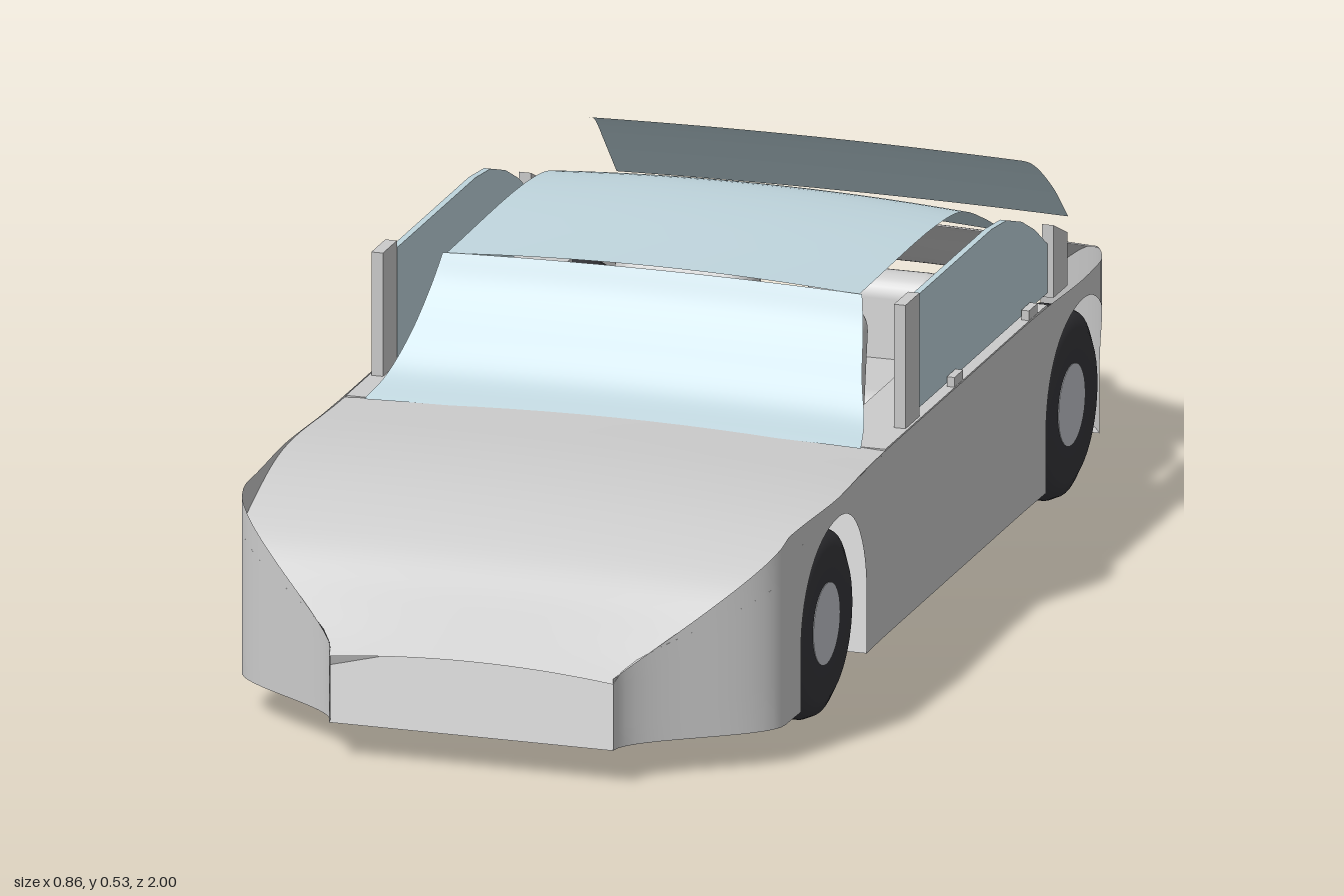
import * as THREE from 'three';
import { RoundedBoxGeometry } from 'three/addons/geometries/RoundedBoxGeometry.js';

const material = (color) => new THREE.MeshStandardMaterial({ color, side: THREE.DoubleSide });
const paint = material(0xcccccc);
const glass = material(0xc0d6de);
const rubber = material(0x36363a);
const metal = material(0xc3c6cc);

const FLOOR = 0.055, WHEEL_R = 0.145;
const AXLES = [0.58, -0.555];
const { smoothstep, lerp } = THREE.MathUtils;

// Body plan (half width) and beltline height along the length
const halfWidth = (z) => {
  const flare = AXLES.reduce((s, a) => s + 0.008 * Math.exp(-(((z - a) / 0.12) ** 2)), 0);
  return z > 0 ? lerp(0.42, 0.22, smoothstep(z, 0.8, 1)) + flare * (1 - smoothstep(z, 0.75, 0.9))
    : lerp(0.42, 0.22, smoothstep(-z, 0.64, 1)) + flare * (1 - smoothstep(-z, 0.65, 0.8));
};
const beltline = (z) => z > 0 ? lerp(0.34, 0.165, smoothstep(z, 0.78, 1))
  : lerp(0.34, 0.19, smoothstep(-z, 0.7, 1));

function add(parent, name, geometry, mat) {
  const mesh = new THREE.Mesh(geometry, mat);
  mesh.name = name;
  parent.add(mesh);
  return mesh;
}

// Smooth skin through rows of equally many points
function loft(rows) {
  const n = rows[0].length, index = [];
  for (let i = 0; i < rows.length - 1; i++) {
    for (let j = 0; j < n - 1; j++) {
      const a = i * n + j;
      index.push(a, a + 1, a + n, a + 1, a + n + 1, a + n);
    }
  }
  const g = new THREE.BufferGeometry();
  g.setAttribute('position', new THREE.Float32BufferAttribute(rows.flat(2), 3));
  g.setIndex(index);
  g.computeVertexNormals();
  return g;
}

// Crowned panel along a [y, z] profile with a half width for each station;
// the profile runs from back to front so that the skin faces up
function panel(profile, width, crown, steps = 24) {
  const curve = new THREE.CatmullRomCurve3(
    profile.map(([y, z, w = 0]) => new THREE.Vector3(w, y, z)), false, 'centripetal');
  return loft(curve.getPoints(steps).map((p) => {
    const w = width ? width(p.z) : p.x;
    return Array.from({ length: 17 }, (_, i) => {
      const t = 1 - i / 8;
      return [-t * w, p.y - crown * t * t, p.z];
    });
  }).map((row) => row.reverse()));
}

// One side wall, its lower edge cut by the wheel arches
function sideWall(side) {
  const columns = [];
  const column = (z, low) => {
    const high = beltline(z), x = side * halfWidth(z);
    const points = [0, 0.25, 0.5, 0.75, 1].map((t) => [x, lerp(Math.min(low, high), high, t), z]);
    columns.push(side > 0 ? points : points.reverse());
  };
  const run = (a, b, n) => { for (let i = 0; i <= n; i++) column(lerp(a, b, i / n), FLOOR); };
  const arch = (c) => {
    for (let i = 0; i <= 28; i++) {
      const t = Math.cos((i / 28) * Math.PI);
      column(c + 0.152 * t, 0.15 + 0.16 * Math.sqrt(Math.max(0, 1 - t * t)));
    }
  };
  run(1, AXLES[0] + 0.152, 20);
  arch(AXLES[0]);
  run(AXLES[0] - 0.152, AXLES[1] + 0.152, 12);
  arch(AXLES[1]);
  run(AXLES[1] - 0.152, -1, 20);
  return loft(columns);
}

// Floor plan with tapered pockets over the wheels
function floorPan() {
  const half = [];
  const run = (a, b) => { for (let i = 0; i <= 16; i++) { const z = lerp(a, b, i / 16); half.push([halfWidth(z), z]); } };
  const pocket = (c) => half.push([0.31, c + 0.152], [0.17, c], [0.31, c - 0.152]);
  run(1, AXLES[0] + 0.152);
  pocket(AXLES[0]);
  run(AXLES[0] - 0.152, AXLES[1] + 0.152);
  pocket(AXLES[1]);
  run(AXLES[1] - 0.152, -1);
  const outline = [...half, ...half.map(([x, z]) => [-x, z]).reverse()];
  const shape = new THREE.Shape(outline.map(([x, z]) => new THREE.Vector2(x, z)));
  return new THREE.ShapeGeometry(shape).rotateX(Math.PI / 2).translate(0, FLOOR, 0);
}

// Thin upright plate from a [z, y] outline, extruded across x
function plate(points, thickness) {
  const shape = new THREE.Shape(points.map(([z, y]) => new THREE.Vector2(-z, y)));
  return new THREE.ExtrudeGeometry(shape, { depth: thickness, bevelEnabled: false })
    .rotateY(Math.PI / 2).translate(-thickness / 2, 0, 0);
}

function makeWheel(side) {
  const wheel = new THREE.Group();
  wheel.name = 'wheel';
  const profile = [[0.06, -0.045], [0.115, -0.047], [0.137, -0.036], [WHEEL_R, -0.018],
    [WHEEL_R, 0.018], [0.137, 0.036], [0.115, 0.047], [0.06, 0.045]];
  add(wheel, 'tire', new THREE.LatheGeometry(profile.map(([r, y]) => new THREE.Vector2(r, y)), 40)
    .rotateZ(Math.PI / 2), rubber);
  add(wheel, 'hub', new THREE.CylinderGeometry(0.062, 0.062, 0.092, 32).rotateZ(Math.PI / 2), metal);
  wheel.position.x = side * 0.365;
  return wheel;
}

function makeSeat(height) {
  const seat = new THREE.Group();
  seat.name = 'seat';
  add(seat, 'cushion', new RoundedBoxGeometry(0.22, 0.09, 0.23, 4, 0.04), paint).position.set(0, 0.195, 0.1);
  const back = add(seat, 'backrest', new RoundedBoxGeometry(0.22, height, 0.08, 4, 0.038), paint);
  back.position.set(0, 0.18 + height / 2, -0.02);
  back.rotation.x = -0.15;
  return seat;
}

export function createModel() {
  const car = new THREE.Group();
  car.name = 'car';

  // Body skin, open at nose and tail
  add(car, 'floor', floorPan(), paint);
  add(car, 'hood', panel([[0.35, 0.33], [0.35, 0.55], [0.33, 0.7], [0.288, 0.82], [0.235, 0.9], [0.17, 1]],
    halfWidth, 0.013), paint);
  const tail = Array.from({ length: 9 }, (_, i) => {
    const z = -1 + (i * 0.29) / 8;
    return [beltline(z) + 0.01, z];
  });
  add(car, 'trunkLid', panel(tail, halfWidth, 0.01), paint);

  // Glazing: windshield, roof and rear window
  add(car, 'windshield', panel([[0.525, 0.16, 0.325], [0.48, 0.185, 0.335], [0.42, 0.235, 0.35],
    [0.37, 0.285, 0.37], [0.348, 0.345, 0.385]], null, 0.006), glass);
  add(car, 'roof', panel([[0.425, -0.52, 0.32], [0.475, -0.42, 0.32], [0.515, -0.32, 0.32],
    [0.53, -0.2, 0.32], [0.53, 0.16, 0.32]], null, 0.012), glass);
  add(car, 'rearWindow', panel([[0.385, -0.72, 0.35], [0.45, -0.655, 0.347], [0.505, -0.585, 0.338],
    [0.53, -0.52, 0.325]], null, 0.005), glass);

  for (const side of [1, -1]) {
    add(car, 'sideWall', sideWall(side), paint);
    add(car, 'sillDeck', new THREE.BoxGeometry(0.1, 0.008, 0.75), paint).position.set(side * 0.368, 0.336, -0.045);

    // Side window between two pillars
    add(car, 'sideWindow', plate([[0.16, 0.345], [0.16, 0.52], [-0.2, 0.52], [-0.27, 0.513], [-0.34, 0.49],
      [-0.4, 0.46], [-0.46, 0.42], [-0.46, 0.345]], 0.01), glass).position.x = side * 0.4;
    add(car, 'frontPillar', plate([[0.225, 0.338], [0.225, 0.53], [0.16, 0.53], [0.16, 0.338]], 0.018), paint)
      .position.x = side * 0.405;
    add(car, 'rearPillar', plate([[-0.46, 0.338], [-0.46, 0.45], [-0.525, 0.42], [-0.525, 0.338]], 0.018), paint)
      .position.x = side * 0.405;
    for (const z of [-0.01, -0.355]) {
      add(car, 'doorHandle', new THREE.BoxGeometry(0.012, 0.015, 0.04), paint).position.set(side * 0.412, 0.348, z);
    }

    // Wheels and tapered wells
    for (const z of AXLES) {
      const wheel = makeWheel(side);
      wheel.position.y = WHEEL_R;
      wheel.position.z = z;
      car.add(wheel);
      const well = add(car, 'wheelWell', new THREE.CylinderGeometry(0.001, 0.152, 0.14, 24, 1, true, 0, Math.PI)
        .rotateZ(Math.PI / 2).scale(side, 1.2, 1), paint);
      well.geometry.scale(1, 1, 1);
      if (side > 0) well.geometry.computeVertexNormals();
      well.position.set(side * 0.24, FLOOR, z);
    }

    // Front and rear seats
    for (const [z, height] of [[-0.02, 0.25], [-0.42, 0.18]]) {
      const seat = makeSeat(height);
      seat.position.set(side * 0.15, 0, z);
      car.add(seat);
    }
  }
  return car;
}
